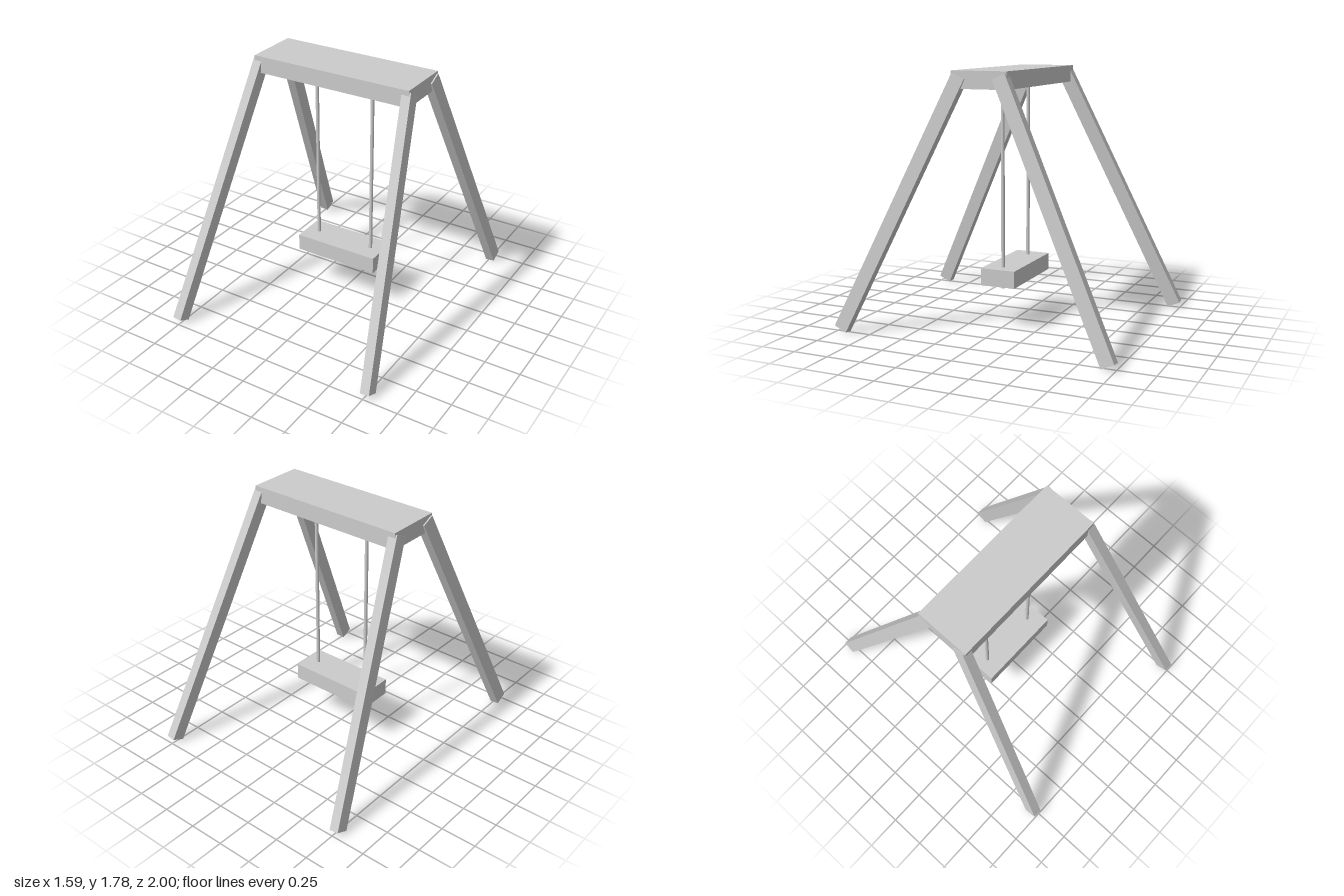
import * as THREE from 'three';

export function createModel() {
  const model = new THREE.Group();
  model.name = 'swingSet';
  const material = new THREE.MeshStandardMaterial({ color: 0xcccccc });

  function add(name, geometry, x, y, z) {
    const mesh = new THREE.Mesh(geometry, material);
    mesh.name = name;
    mesh.position.set(x, y, z);
    model.add(mesh);
    return mesh;
  }

  // Wide top beam
  add('topBeam', new THREE.BoxGeometry(1.172, 0.117, 0.392), 0, 1.7185, 0);

  // Four splayed legs, leaning outward in x and z
  const legGeometry = new THREE.BoxGeometry(0.065, 1.91, 0.096);
  for (const sx of [-1, 1]) {
    for (const sz of [-1, 1]) {
      const name = (sz > 0 ? 'front' : 'back') + (sx > 0 ? 'Left' : 'Right') + 'Leg';
      const leg = add(name, legGeometry, sx * 0.663, 0.882, sz * 0.5495);
      leg.rotation.set(-sz * THREE.MathUtils.degToRad(25.3), 0, sx * 0.104);
    }
  }

  // Swing seat
  add('seat', new THREE.BoxGeometry(0.62, 0.119, 0.25), 0, 0.3645, 0);

  // Ropes run from the beam down through the seat
  const ropeBottom = 0.275, ropeTop = 1.7;
  const ropeGeometry = new THREE.CylinderGeometry(0.0125, 0.0125, ropeTop - ropeBottom, 16);
  for (const sx of [-1, 1]) {
    add(sx > 0 ? 'leftRope' : 'rightRope', ropeGeometry, sx * 0.217, (ropeTop + ropeBottom) / 2, 0);
  }

  return model;
}
